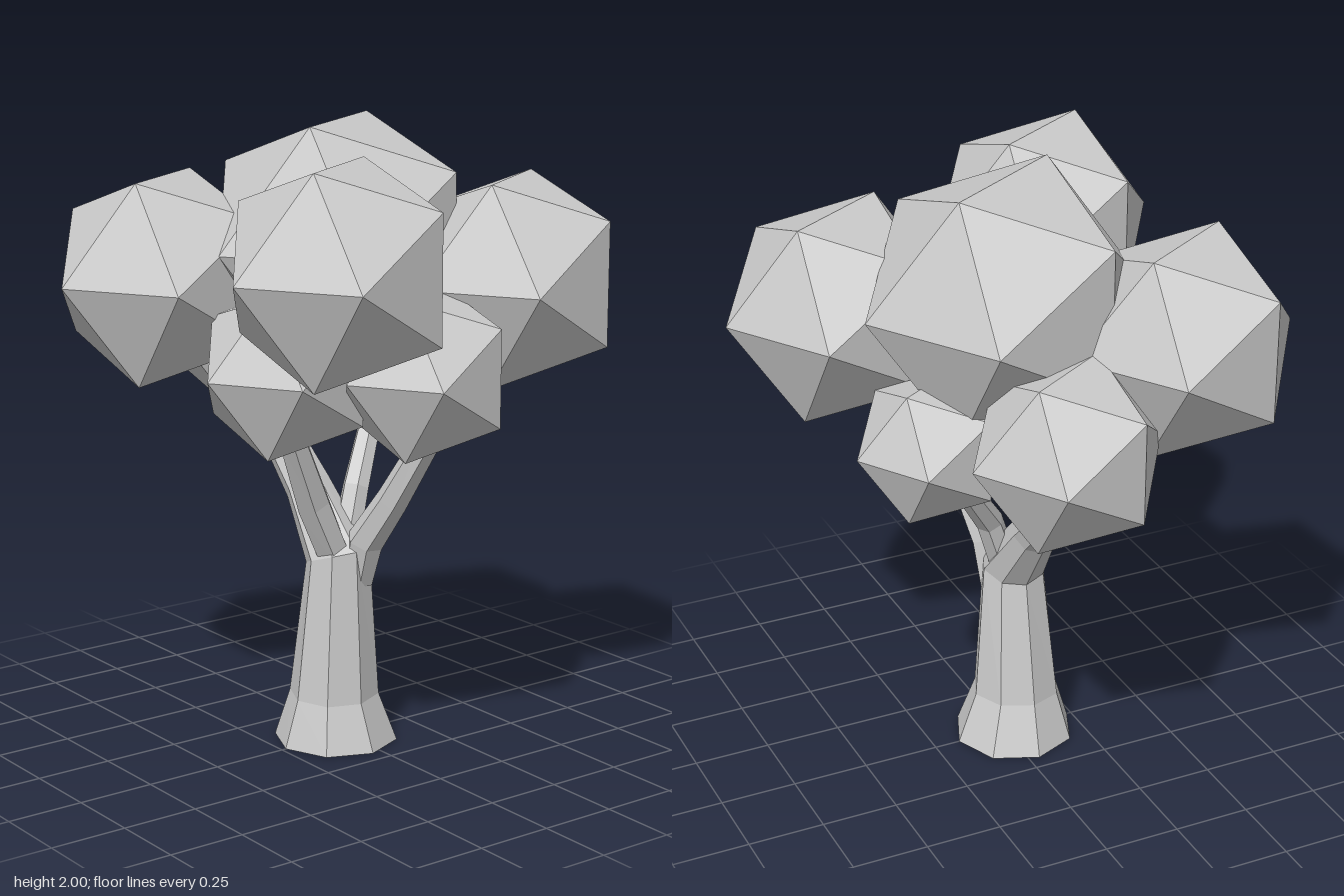
import * as THREE from 'three';

const material = new THREE.MeshStandardMaterial({ color: 0xcccccc, flatShading: true });

// Tapered limb: each stop is [x, y, z, radius]; rings follow the bend of the path
function limb(name, stops, sides) {
  const points = stops.map(([x, y, z]) => new THREE.Vector3(x, y, z));
  const up = new THREE.Vector3(0, 1, 0);
  const turn = new THREE.Quaternion();
  const positions = [];
  const index = [];
  const last = stops.length - 1;

  points.forEach((p, i) => {
    const tangent = up.clone();
    if (i > 0) {
      tangent.subVectors(p, points[i - 1]).normalize();
      if (i < last) tangent.add(points[i + 1].clone().sub(p).normalize()).normalize();
    }
    turn.setFromUnitVectors(up, tangent);
    for (let j = 0; j < sides; j++) {
      const a = (j / sides) * Math.PI * 2;
      const v = new THREE.Vector3(Math.sin(a), 0, Math.cos(a))
        .multiplyScalar(stops[i][3]).applyQuaternion(turn).add(p);
      positions.push(v.x, v.y, v.z);
    }
  });

  // End cap centres
  const bottom = positions.length / 3;
  const top = bottom + 1;
  positions.push(...points[0].toArray(), ...points[last].toArray());

  for (let j = 0; j < sides; j++) {
    const k = (j + 1) % sides;
    for (let i = 0; i < last; i++) {
      const a = i * sides, b = a + sides;
      index.push(a + j, a + k, b + j, a + k, b + k, b + j);
    }
    index.push(bottom, k, j, top, last * sides + j, last * sides + k);
  }

  const geometry = new THREE.BufferGeometry();
  geometry.setAttribute('position', new THREE.Float32BufferAttribute(positions, 3));
  geometry.setIndex(index);
  geometry.computeVertexNormals();
  const mesh = new THREE.Mesh(geometry, material);
  mesh.name = name;
  return mesh;
}

// Faceted leaf clump, turned so that one corner points straight along z
function clump(name, x, y, z, radius) {
  const mesh = new THREE.Mesh(new THREE.IcosahedronGeometry(radius, 0), material);
  mesh.name = name;
  mesh.position.set(x, y, z);
  mesh.rotation.y = -Math.atan((1 + Math.sqrt(5)) / 2);
  return mesh;
}

export function createModel() {
  const tree = new THREE.Group();
  tree.name = 'tree';

  // Flared trunk that leans over into the right-hand main branch
  tree.add(limb('trunk', [
    [0.0, 0, 0.035, 0.2],
    [0.005, 0.16, 0.045, 0.145],
    [0.025, 0.62, 0.045, 0.105],
    [-0.135, 0.815, 0.045, 0.075],
    [-0.39, 1.06, 0.045, 0.057],
  ], 8));

  // Side branches
  tree.add(limb('leftBranch', [
    [0.07, 0.53, 0.0, 0.05],
    [0.11, 0.68, 0.0, 0.06],
    [0.21, 0.83, -0.03, 0.052],
    [0.35, 1.07, -0.075, 0.043],
  ], 6));
  tree.add(limb('frontBranch', [
    [0.04, 0.6, 0.06, 0.06],
    [0.055, 0.82, 0.165, 0.058],
    [0.105, 1.08, 0.29, 0.045],
  ], 6));
  tree.add(limb('backBranch', [
    [0.01, 0.62, 0.01, 0.05],
    [-0.02, 0.82, -0.06, 0.045],
    [-0.13, 1.06, -0.22, 0.036],
  ], 6));

  // Leaf clumps
  const foliage = new THREE.Group();
  foliage.name = 'foliage';
  [
    ['topClump', -0.075, 1.61, -0.035, 0.457],
    ['frontLeftClump', 0.43, 1.62, 0.34, 0.375],
    ['backLeftClump', 0.3, 1.507, -0.425, 0.375],
    ['frontRightClump', -0.375, 1.507, 0.425, 0.375],
    ['lowerRightClump', -0.49, 1.27, -0.02, 0.313],
    ['lowerBackClump', -0.125, 1.19, -0.3, 0.25],
    ['lowerLeftClump', 0.38, 1.27, -0.015, 0.292],
    ['lowerFrontClump', 0.11, 1.27, 0.3, 0.292],
  ].forEach((c) => foliage.add(clump(...c)));
  tree.add(foliage);

  return tree;
}
